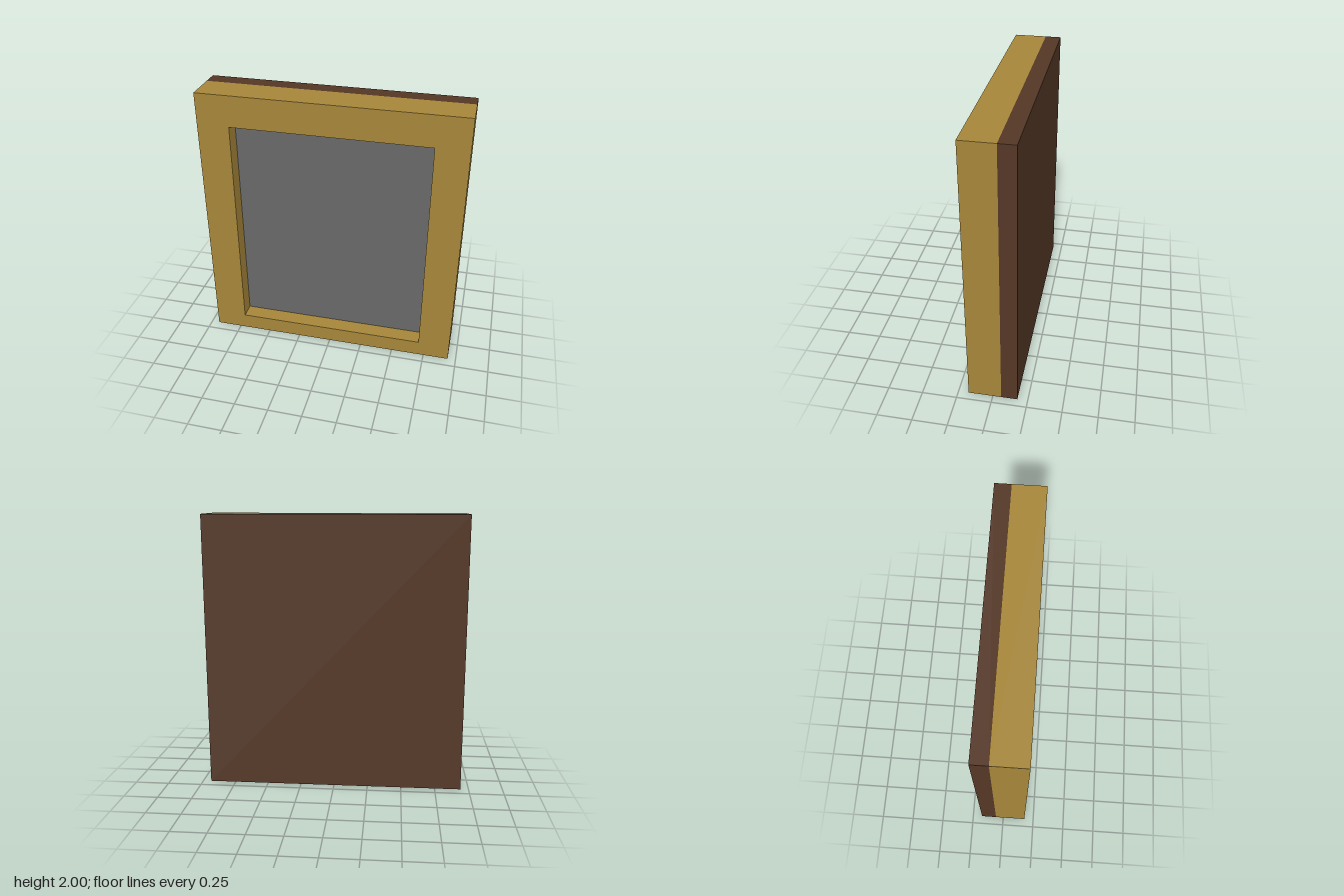
import * as THREE from 'three';

const W = 1.88, H = 2, BACK = -0.176, SEAM = -0.06, FRONT = 0.176, PANEL = 0.058;
const OPEN = { x: 0.706, bottom: 0.12, top: 1.77 };

const mat = (name, color) => {
  const m = new THREE.MeshStandardMaterial({ color });
  m.name = name;
  return m;
};

export function createModel() {
  const group = new THREE.Group();
  const gold = mat('gold', 0xa6863a);
  const brown = mat('dark wood', 0x543726);
  const grey = mat('grey', 0x686868);

  const add = (name, geometry, material, x, y, z) => {
    const mesh = new THREE.Mesh(geometry, material);
    mesh.name = name;
    mesh.position.set(x, y, z);
    group.add(mesh);
  };

  // Gold frame with a rectangular opening
  const rect = (T, x, y0, y1) => new T([
    new THREE.Vector2(-x, y0), new THREE.Vector2(x, y0),
    new THREE.Vector2(x, y1), new THREE.Vector2(-x, y1),
  ]);
  const outline = rect(THREE.Shape, W / 2, 0, H);
  outline.holes.push(rect(THREE.Path, OPEN.x, OPEN.bottom, OPEN.top));
  const frame = new THREE.ExtrudeGeometry(outline, { depth: FRONT - SEAM, bevelEnabled: false });
  add('frame', frame, gold, 0, 0, SEAM);

  // Solid wooden backing
  add('backing', new THREE.BoxGeometry(W, H, SEAM - BACK), brown, 0, H / 2, (SEAM + BACK) / 2);

  // Recessed panel filling the opening
  add('panel', new THREE.BoxGeometry(OPEN.x * 2, OPEN.top - OPEN.bottom, PANEL - SEAM), grey,
    0, (OPEN.top + OPEN.bottom) / 2, (PANEL + SEAM) / 2);

  return group;
}
